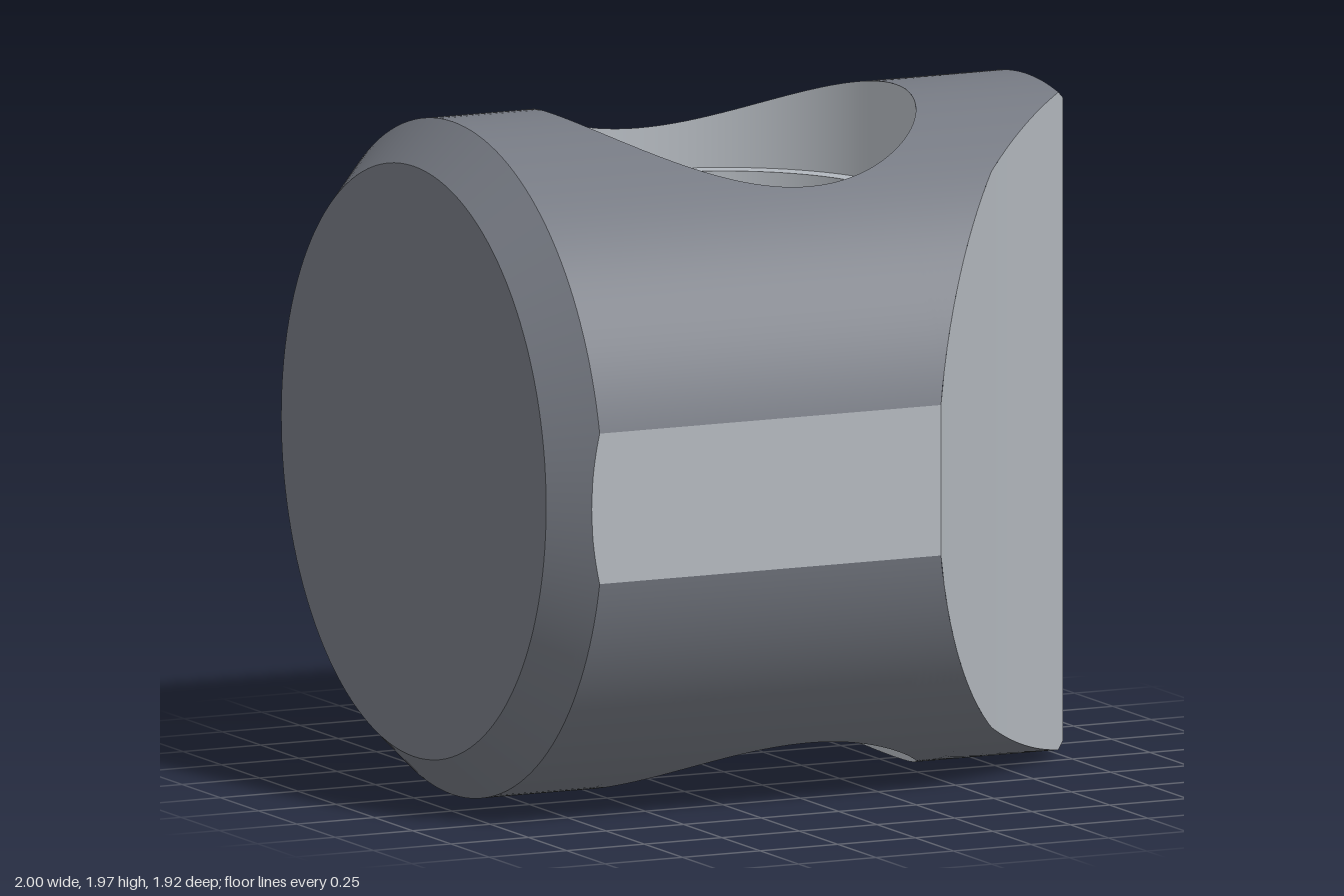
import * as THREE from 'three';

const R = 0.987, CY = 0.987;        // body radius and axis height
const FLAT = 0.962;                 // half depth between the side flats
const BORE = 0.495, COUNTER = 0.555, LEDGE = 0.69; // eye radii, ledge distance from axis
const BEND = 0.588;                 // where the cheek taper eases

// Body radius along x, with a chamfer at each end
const radiusAt = (x) => x < -0.875 ? R - (-0.875 - x) * 0.97 : x > 0.975 ? R - (x - 0.975) : R;
const slopeAt = (x) => x < -0.875 ? 0.97 : x > 0.975 ? -1 : 0;

// Half depth along x: side flats, then a two-step taper to the peen
const taper = (x) => 0.556 - (x < BEND ? 1.118 : 0.896) * (x - BEND);
const halfDepth = (x) => Math.min(radiusAt(x), x > 0.225 ? taper(x) : FLAT);
const heightAt = (x, z) => Math.sqrt(Math.max(0, radiusAt(x) ** 2 - z * z));

const range = (a, b, n) => Array.from({ length: n + 1 }, (_, i) => a + (b - a) * i / n);

export function createModel() {
  const model = new THREE.Group();
  // Dark forged steel for the round body, lighter ground steel for cut faces
  const forged = new THREE.MeshStandardMaterial({ color: 0x757982 });
  const ground = new THREE.MeshStandardMaterial({ color: 0xb3b8be });

  // Skin rows of points; normalAt gives the outward direction and sets the winding
  function skin(name, material, rows, normalAt) {
    const pos = [], nor = [], index = [], w = rows[0].length;
    const pts = rows.flat().map((p) => new THREE.Vector3(...p));
    const normals = pts.map((p) => new THREE.Vector3(...normalAt(p.x, p.y, p.z)).normalize());
    pts.forEach((p, i) => {
      pos.push(p.x, p.y + CY, p.z);
      nor.push(...normals[i].toArray());
    });
    const e1 = new THREE.Vector3(), e2 = new THREE.Vector3();
    const tri = (a, b, c) => {
      e1.subVectors(pts[b], pts[a]);
      e2.subVectors(pts[c], pts[a]);
      const cross = e1.cross(e2);
      if (cross.length() < 1e-10) return;
      const out = normals[a].clone().add(normals[b]).add(normals[c]);
      if (cross.dot(out) > 0) index.push(a, b, c);
      else index.push(a, c, b);
    };
    for (let i = 0; i < rows.length - 1; i++) {
      for (let j = 0; j < w - 1; j++) {
        const a = i * w + j, b = a + w;
        tri(a, b, a + 1);
        tri(a + 1, b, b + 1);
      }
    }
    const g = new THREE.BufferGeometry();
    g.setAttribute('position', new THREE.Float32BufferAttribute(pos, 3));
    g.setAttribute('normal', new THREE.Float32BufferAttribute(nor, 3));
    g.setIndex(index);
    const mesh = new THREE.Mesh(g, material);
    mesh.name = name;
    model.add(mesh);
  }

  // Round upper (s = 1) or lower (s = -1) skin between two depth limits
  function roundSkin(name, xs, s, lo, hi, n) {
    const rows = xs.map((x) => {
      const r = radiusAt(x);
      const angle = (z) => Math.asin(Math.max(-1, Math.min(1, z / r)));
      return range(angle(lo(x)), angle(hi(x)), n)
        .map((t) => [x, s * r * Math.cos(t), r * Math.sin(t)]);
    });
    const k = slopeAt((xs[0] + xs[xs.length - 1]) / 2);
    skin(name, forged, rows, (x, y, z) => [-k * radiusAt(x), y, z]);
  }

  const holeXs = range(Math.PI, 0, 64).map((a) => COUNTER * Math.cos(a));
  holeXs.push(0.225);
  holeXs.sort((a, b) => a - b);
  const holeDepth = (x) => Math.sqrt(Math.max(0, COUNTER ** 2 - x * x));
  const minus = (x) => -halfDepth(x);
  const flatStart = -0.875 - (R - FLAT) / 0.97; // where the flat runs out in the chamfer
  const chamferXs = [-1, ...range(flatStart, -0.875, 10)];

  for (const s of [1, -1]) {
    const side = s > 0 ? 'upper' : 'lower';
    roundSkin(side + 'FaceChamfer', chamferXs, s, minus, halfDepth, 64);
    roundSkin(side + 'BodyBehindEye', [-0.875, -COUNTER], s, minus, halfDepth, 64);
    roundSkin(side + 'BodyEyeFront', holeXs, s, holeDepth, halfDepth, 32);
    roundSkin(side + 'BodyEyeBack', holeXs, s, minus, (x) => -holeDepth(x), 32);
    roundSkin(side + 'BodyPeen', [COUNTER, ...range(BEND, 0.975, 12)], s, minus, halfDepth, 32);
    roundSkin(side + 'PeenChamfer', [0.975, 1], s, minus, halfDepth, 16);

    // Counterbore wall up to the saddle-shaped rim, and its ledge
    const turn = range(0, Math.PI * 2, 96).map((a) => [Math.cos(a), Math.sin(a)]);
    skin(side + 'Counterbore', ground, turn.map(([c, d]) => [
      [COUNTER * c, s * LEDGE, COUNTER * d],
      [COUNTER * c, s * heightAt(COUNTER * c, COUNTER * d), COUNTER * d],
    ]), (x, y, z) => [-x, 0, -z]);
    skin(side + 'EyeLedge', ground, turn.map(([c, d]) => [
      [BORE * c, s * LEDGE, BORE * d], [COUNTER * c, s * LEDGE, COUNTER * d],
    ]), () => [0, s, 0]);
    if (s > 0) {
      skin('eyeBore', ground, turn.map(([c, d]) => [
        [BORE * c, -LEDGE, BORE * d], [BORE * c, LEDGE, BORE * d],
      ]), (x, y, z) => [-x, 0, -z]);
    }
  }

  // Side flats and tapered cheeks, front and back
  for (const s of [1, -1]) {
    const side = s > 0 ? 'front' : 'back';
    const wall = (xs) => xs.map((x) => {
      const z = halfDepth(x), h = heightAt(x, z);
      return [[x, -h, s * z], [x, h, s * z]];
    });
    skin(side + 'Flat', ground, wall([...range(flatStart, -0.875, 10), 0.225]), () => [0, 0, s]);
    // The normal turns gradually so the bend stays soft
    skin(side + 'Cheek', ground,
      wall([...range(0.225, BEND, 16), ...range(BEND, 0.975, 16).slice(1), 1]),
      (x) => [1.118 - 0.286 * (x - 0.225), 0, s]);
  }

  // Round striking face and narrow peen edge
  for (const [name, x] of [['strikingFace', -1], ['peenEdge', 1]]) {
    const r = radiusAt(x), a = Math.asin(Math.min(1, halfDepth(x) / r));
    skin(name, forged, range(-a, a, 64).map((t) => {
      const z = r * Math.sin(t), h = r * Math.cos(t);
      return [[x, -h, z], [x, h, z]];
    }), () => [x, 0, 0]);
  }

  return model;
}
